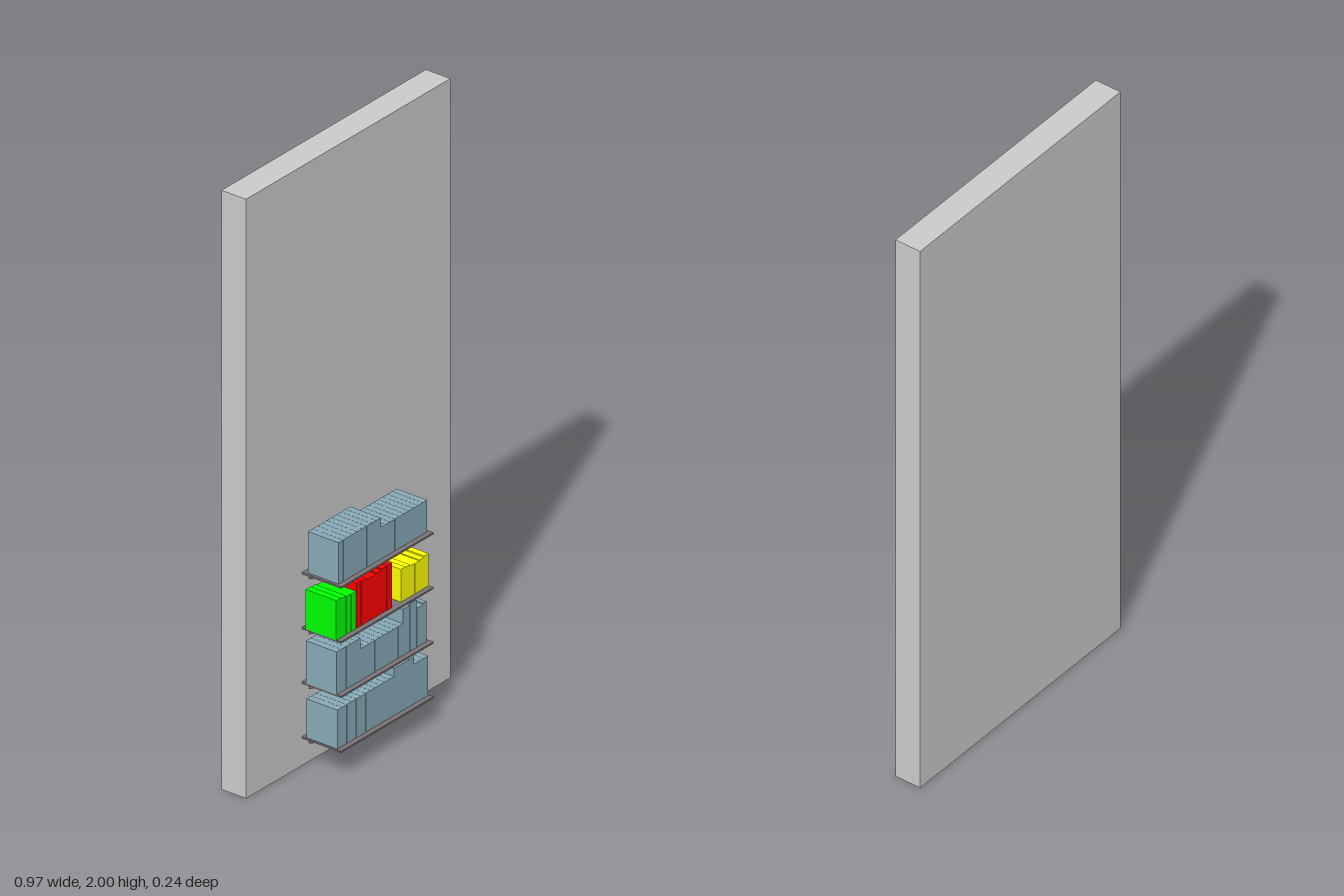
import * as THREE from 'three';

const paint = (color) => new THREE.MeshStandardMaterial({ color });
const BLUE = paint(0x88aab7), RED = paint(0xff0000), GREEN = paint(0x00ff00), YELLOW = paint(0xffff00);
const SHELF = paint(0x7b7476), WALL = paint(0xcccccc);

// Box given by its extents on each axis
function box(name, material, x0, x1, y0, y1, z0, z1) {
  const mesh = new THREE.Mesh(new THREE.BoxGeometry(x1 - x0, y1 - y0, z1 - z0), material);
  mesh.position.set((x0 + x1) / 2, (y0 + y1) / 2, (z0 + z1) / 2);
  mesh.name = name;
  return mesh;
}

// Tapered bracket under a shelf, thickest at the wall
function bracket(x, y) {
  const profile = new THREE.Shape([
    [-0.05, 0], [0.025, 0], [0.025, -0.028], [0.012, -0.025], [0, -0.015], [-0.04, -0.005],
  ].map(([u, v]) => new THREE.Vector2(u, v)));
  const geometry = new THREE.ExtrudeGeometry(profile, { depth: 0.008, bevelEnabled: false });
  geometry.translate(0, 0, -0.004);
  geometry.rotateY(Math.PI / 2); // profile u becomes -z
  const mesh = new THREE.Mesh(geometry, SHELF);
  mesh.position.set(x, y, 0);
  mesh.name = 'bracket';
  return mesh;
}

// Each shelf: top height and runs of books [x0, x1, top height, count, material]
const SHELVES = [
  { y: 0.097, runs: [
    [-0.217, 0.053, 0.227, 12, BLUE], [0.053, 0.148, 0.254, 4, BLUE], [0.148, 0.215, 0.229, 3, BLUE],
  ] },
  { y: 0.28, runs: [
    [-0.22, -0.106, 0.422, 5, BLUE], [-0.106, 0.095, 0.386, 9, BLUE], [0.095, 0.127, 0.434, 1, BLUE],
    [0.127, 0.16, 0.44, 1, BLUE], [0.16, 0.19, 0.41, 1, BLUE], [0.19, 0.206, 0.415, 1, BLUE],
  ] },
  { y: 0.462, wavy: true, runs: [
    [-0.222, -0.127, 0.59, 4, GREEN], [-0.127, 0.042, 0.608, 7, RED], [0.085, 0.217, 0.567, 6, YELLOW],
  ] },
  { y: 0.645, runs: [
    [-0.211, -0.01, 0.783, 9, BLUE], [-0.01, 0.21, 0.751, 10, BLUE],
  ] },
];

export function createModel() {
  const model = new THREE.Group();
  model.name = 'wallShelves';
  model.add(box('wall', WALL, -0.485, 0.485, 0, 2, -0.12, -0.028));

  for (const { y, wavy, runs } of SHELVES) {
    const unit = new THREE.Group();
    unit.name = 'shelfUnit';
    unit.add(box('shelf', SHELF, -0.22, 0.218, y - 0.006, y, -0.028, 0.12));
    for (const x of [-0.185, 0.182]) unit.add(bracket(x, y - 0.006));

    // Books stand side by side with hairline gaps
    for (const [x0, x1, top, count, material] of runs) {
      const w = (x1 - x0) / count;
      for (let i = 0; i < count; i++) {
        const h = top + (wavy ? 0.004 * Math.cos(i * 1.1) : 0);
        unit.add(box('book', material, x0 + i * w, x0 + (i + 1) * w - 0.0006, y, h, -0.012, 0.103));
      }
    }
    model.add(unit);
  }
  return model;
}
